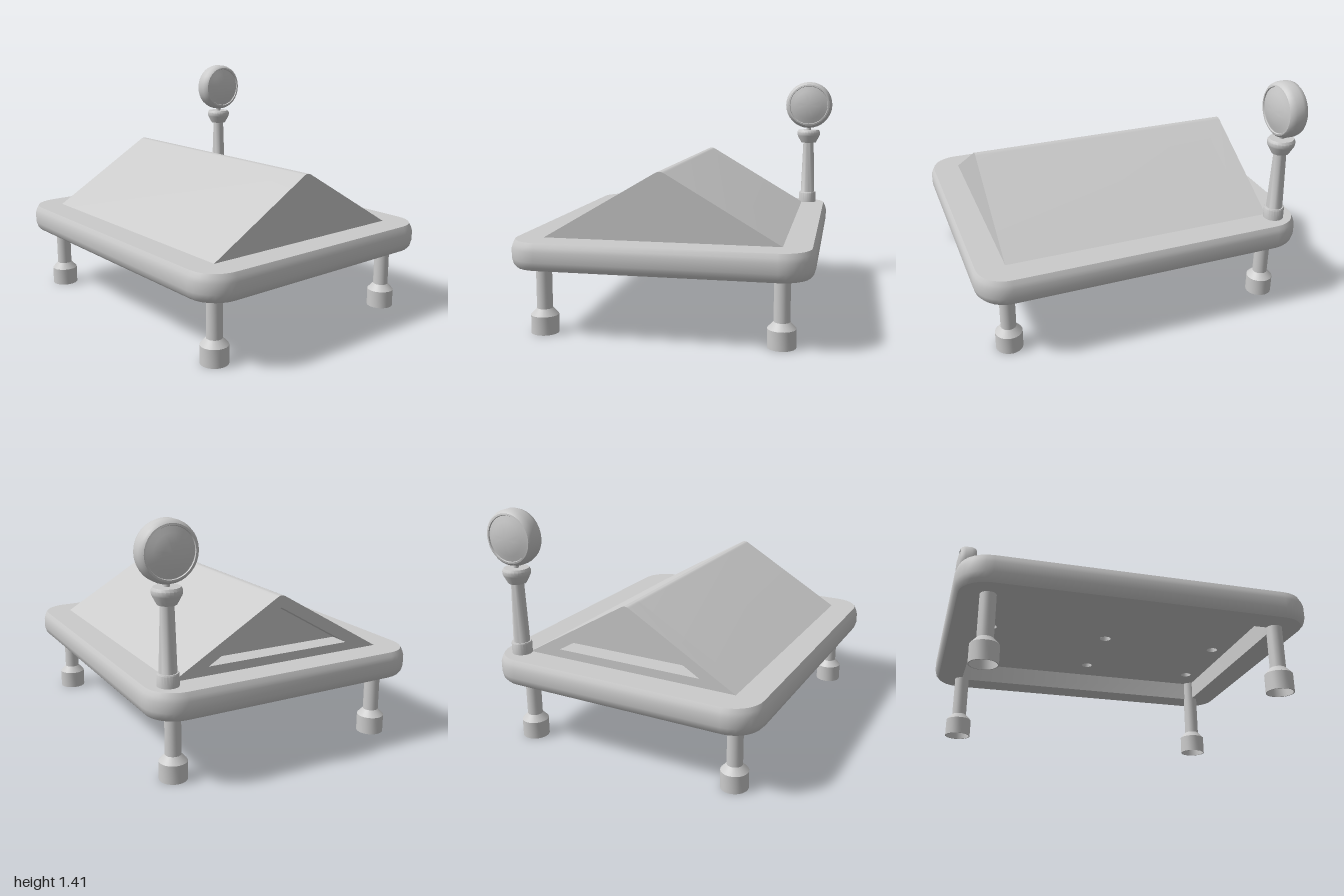
import * as THREE from 'three';
import { toCreasedNormals } from 'three/addons/utils/BufferGeometryUtils.js';

const CX = -0.013, HX = 0.845, HZ = 1;      // base centre and half sizes
const PANEL_Y = 0.505, TOP_Y = 0.545;
const material = new THREE.MeshStandardMaterial({ color: 0xcccccc, side: THREE.DoubleSide });

function addMesh(parent, name, geometry, x = 0, y = 0, z = 0) {
  const mesh = new THREE.Mesh(geometry, material);
  mesh.name = name;
  mesh.position.set(x, y, z);
  parent.add(mesh);
  return mesh;
}

// Turned part from [radius, height] pairs, with crisp edges
function turned(points, sides = 24) {
  const lathe = new THREE.LatheGeometry(points.map(([r, y]) => new THREE.Vector2(r, y)), sides);
  return toCreasedNormals(lathe, 0.55);
}

// Outline of a rounded rectangle, inset from the base edge
function outline(inset, radius, steps = 7) {
  const points = [];
  const corners = [[1, 1], [-1, 1], [-1, -1], [1, -1]];
  corners.forEach(([sx, sz], c) => {
    for (let i = 0; i <= steps; i++) {
      const a = (c + i / steps) * Math.PI / 2;
      points.push(new THREE.Vector2(
        sx * (HX - inset - radius) + radius * Math.cos(a),
        sz * (HZ - inset - radius) + radius * Math.sin(a)));
    }
  });
  return points;
}

// Skin over rings of [inset, corner radius, height]
function loftRings(rings) {
  const positions = [], index = [];
  let n = 0;
  for (const [inset, radius, y] of rings) {
    const ring = outline(inset, radius);
    n = ring.length;
    for (const p of ring) positions.push(p.x, y, p.y);
  }
  for (let i = 0; i < rings.length - 1; i++) {
    for (let j = 0; j < n; j++) {
      const k = (j + 1) % n, a = i * n, b = a + n;
      index.push(a + j, b + j, a + k, a + k, b + j, b + k);
    }
  }
  const geometry = new THREE.BufferGeometry();
  geometry.setAttribute('position', new THREE.Float32BufferAttribute(positions, 3));
  geometry.setIndex(index);
  return toCreasedNormals(geometry, 0.55);
}

function makeBase() {
  const base = new THREE.Group();
  base.name = 'base';
  base.position.x = CX;
  // Rim, from the recess underneath round to the top edge
  addMesh(base, 'baseRim', loftRings([
    [0.18, 0.01, PANEL_Y], [0.18, 0.01, 0.39], [0.025, 0.16, 0.39], [0.009, 0.175, 0.408],
    [0, 0.185, 0.44], [0, 0.185, 0.497], [0.008, 0.177, 0.522], [0.02, 0.165, TOP_Y],
  ]));
  const top = new THREE.ShapeGeometry(new THREE.Shape(outline(0.02, 0.165)));
  addMesh(base, 'baseTop', top.rotateX(-Math.PI / 2), 0, TOP_Y, 0);
  // Underside panel with screw holes
  const panel = new THREE.Shape(outline(0.18, 0.01));
  for (const x of [-0.48, 0, 0.48]) {
    for (const z of [-0.72, 0, 0.72]) {
      panel.holes.push(new THREE.Path().absarc(x, z, 0.034, 0, Math.PI * 2, true));
      const wall = new THREE.CylinderGeometry(0.034, 0.034, TOP_Y - PANEL_Y, 16, 1, true);
      addMesh(base, 'screwHole', wall, x, (TOP_Y + PANEL_Y) / 2, z);
    }
  }
  addMesh(base, 'undersidePanel', new THREE.ShapeGeometry(panel, 10).rotateX(Math.PI / 2), 0, PANEL_Y, 0);
  return base;
}

// Triangle with a slightly rounded ridge
function gable(halfWidth, bottom, apex, rounding) {
  const t = rounding, slope = (apex - bottom) / halfWidth;
  return new THREE.Shape()
    .moveTo(-halfWidth, bottom)
    .lineTo(halfWidth, bottom)
    .lineTo(t, apex - t * slope)
    .quadraticCurveTo(0, apex, -t, apex - t * slope)
    .closePath();
}

function makeRoof() {
  const roof = new THREE.Group();
  roof.name = 'roof';
  roof.position.x = CX;
  const extrude = (shape, depth) =>
    toCreasedNormals(new THREE.ExtrudeGeometry(shape, { depth, bevelEnabled: false, curveSegments: 6 }), 0.5);
  addMesh(roof, 'roofBody', extrude(gable(0.67, 0.544, 0.937, 0.025), 1.515), 0, 0, -0.7);
  // Open frame around the recessed back gable
  const frame = gable(0.67, 0.544, 0.937, 0.025);
  frame.holes.push(gable(0.455, 0.595, 0.862, 0.005));
  addMesh(roof, 'backGableFrame', extrude(frame, 0.12), 0, 0, -0.82);
  return roof;
}

function makeSignal() {
  const signal = new THREE.Group();
  signal.name = 'signalPost';
  signal.position.set(0.695, 0, -0.85);
  addMesh(signal, 'post', turned([
    [0, 0.543], [0.06, 0.543], [0.06, 0.61], [0.056, 0.617], [0.049, 0.617], [0.037, 0.976],
    [0.052, 0.976], [0.078, 1.025], [0.081, 1.035], [0.081, 1.052], [0.072, 1.067], [0, 1.067],
  ]));
  addMesh(signal, 'neck', new THREE.CylinderGeometry(0.016, 0.016, 0.06, 16), 0, 1.085, 0);
  // Round head with rolled rim and domed faces
  const half = [[0, 0.076], [0.05, 0.073], [0.1, 0.064], [0.133, 0.052], [0.136, 0.059],
    [0.146, 0.057], [0.157, 0.046], [0.164, 0.022]];
  const profile = [...half.map(([r, y]) => [r, -y]), ...half.slice().reverse()];
  addMesh(signal, 'roundHead', turned(profile, 32).rotateX(Math.PI / 2), 0, 1.246, 0);
  return signal;
}

export function createModel() {
  const model = new THREE.Group();
  model.name = 'model';
  model.add(makeBase(), makeRoof(), makeSignal());
  // Legs with hollow feet
  const legGeometry = turned([
    [0, 0.1], [0.073, 0.1], [0.073, 0], [0.079, 0], [0.079, 0.105],
    [0.045, 0.142], [0.045, PANEL_Y], [0, PANEL_Y],
  ]);
  for (const sx of [-1, 1]) {
    for (const sz of [-1, 1]) {
      const name = (sz > 0 ? 'front' : 'back') + (sx > 0 ? 'Left' : 'Right') + 'Leg';
      addMesh(model, name, legGeometry, CX + sx * 0.67, 0, sz * 0.819);
    }
  }
  return model;
}
